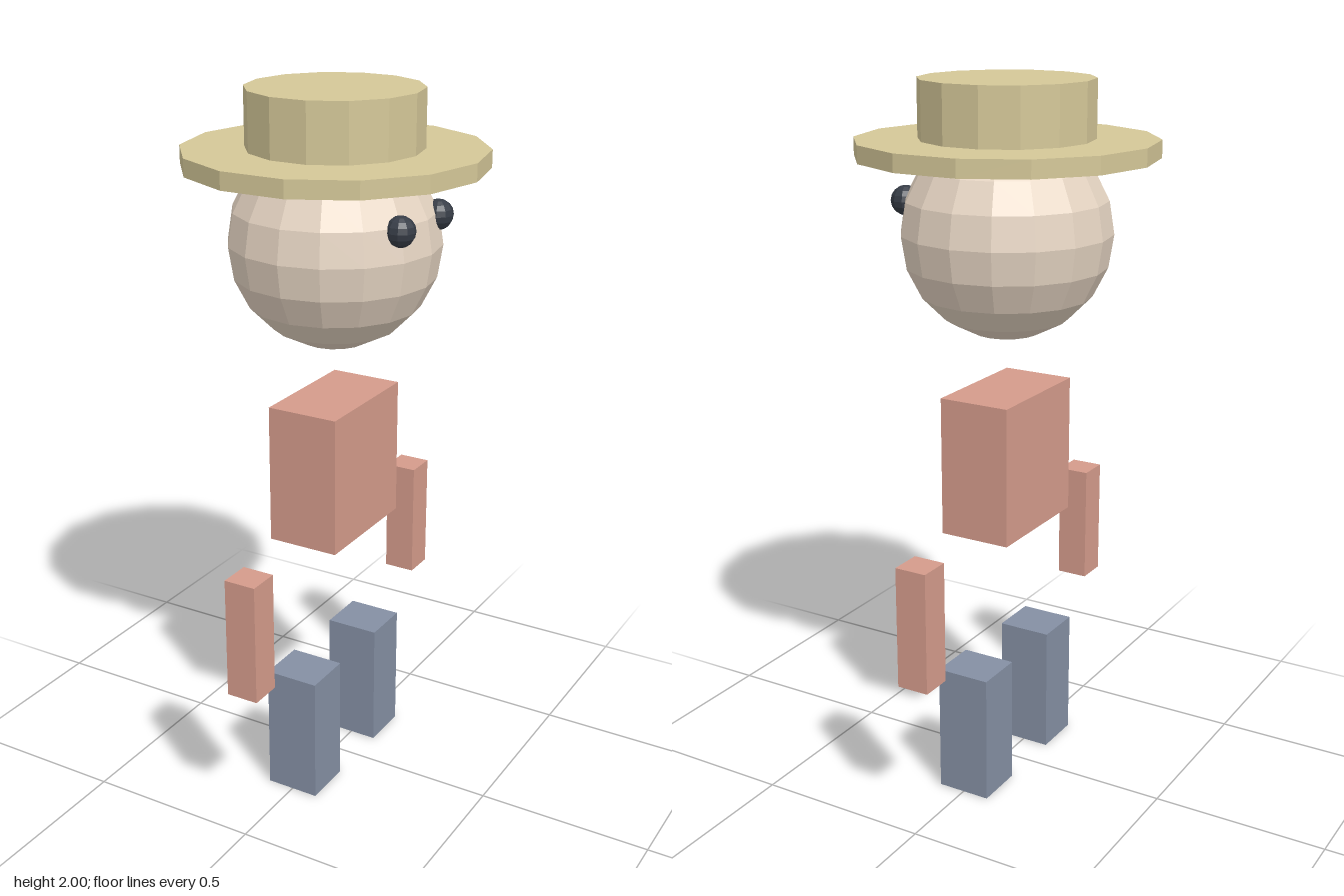
import * as THREE from 'three';

const SHIRT = 0xd49b8b, TROUSERS = 0x848fa3, STRAW = 0xd4c798, SKIN = 0xe6d5c3, DARK = 0x363c46;

export function createModel() {
  const model = new THREE.Group();
  model.name = 'figure';

  function add(parent, name, geometry, color, x, y, z) {
    const mesh = new THREE.Mesh(geometry, new THREE.MeshStandardMaterial({ color, flatShading: true }));
    mesh.name = name;
    mesh.position.set(x, y, z);
    parent.add(mesh);
    return mesh;
  }

  // Box standing on yBottom
  function block(name, color, width, yBottom, yTop, depth, z) {
    const h = yTop - yBottom;
    add(model, name, new THREE.BoxGeometry(width, h, depth), color, 0, yBottom + h / 2, z);
  }

  // Fourteen-sided disc with corners on the x axis
  function disc(parent, name, radius, yBottom, yTop) {
    const h = yTop - yBottom;
    const geometry = new THREE.CylinderGeometry(radius, radius, h, 14).rotateY(Math.PI / 2);
    add(parent, name, geometry, STRAW, 0, yBottom + h / 2, 0);
  }

  block('torso', SHIRT, 0.208, 0.76, 1.155, 0.357, 0);

  // Head, with the face turned to +x
  const head = new THREE.Group();
  head.name = 'head';
  model.add(head);
  add(head, 'skull', new THREE.SphereGeometry(0.29, 16, 10), SKIN, 0, 1.593, 0);

  // Mirrored limbs and eyes on either side of z = 0
  for (const [label, s] of [['near', 1], ['far', -1]]) {
    block(label + 'Arm', SHIRT, 0.092, 0.44, 0.785, 0.092, s * 0.451);
    block(label + 'Leg', TROUSERS, 0.156, 0, 0.372, 0.144, s * 0.175);
    add(head, label + 'Eye', new THREE.SphereGeometry(0.041, 10, 8), DARK, 0.253, 1.673, s * 0.107);
  }

  // Hat
  const hat = new THREE.Group();
  hat.name = 'hat';
  model.add(hat);
  disc(hat, 'brim', 0.41, 1.795, 1.843);
  disc(hat, 'crown', 0.238, 1.843, 2);

  return model;
}
